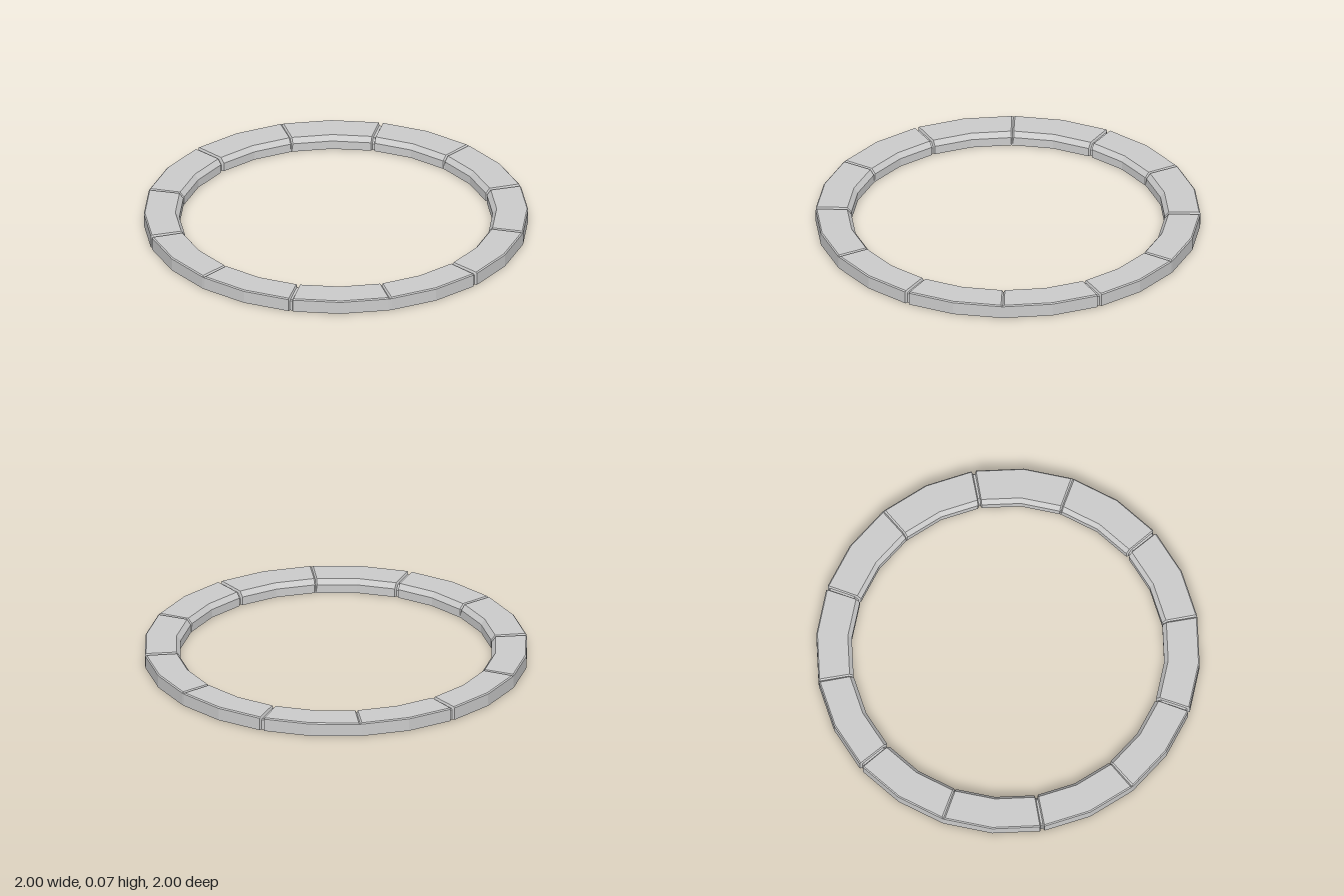
import * as THREE from 'three';

// Cross-section from outer foot over the top to inner foot; the underside is open.
// groove sinks every face, crease sinks only the top and the inner bevel.
function section(groove, crease) {
  const top = groove + crease;
  return [
    [1 - groove, 0],
    [1 - groove, 0.067 - groove],
    [0.994 - groove, 0.073 - top],
    [0.836 + top, 0.073 - top],
    [0.815 + top, 0.046 - groove],
    [0.815 + groove, 0],
  ];
}

// Stations along one sixth of the ring: [degrees, groove depth, crease depth]
const stations = [
  [0, 0.012, 0], [0.35, 0.012, 0], [0.7, 0, 0],
  [15, 0, 0],
  [29.5, 0, 0], [30, 0, 0.008], [30.5, 0, 0],
  [45, 0, 0],
  [59.3, 0, 0], [59.65, 0.012, 0], [60, 0.012, 0],
];

function stoneGeometry() {
  const positions = [];
  const index = [];
  const n = section(0, 0).length;
  stations.forEach(([deg, groove, crease], i) => {
    const a = THREE.MathUtils.degToRad(deg);
    section(groove, crease).forEach(([r, y], j) => {
      positions.push(r * Math.cos(a), y, r * Math.sin(a));
      if (i < stations.length - 1 && j < n - 1) {
        const p = i * n + j;
        index.push(p, p + 1, p + n, p + 1, p + n + 1, p + n);
      }
    });
  });
  const indexed = new THREE.BufferGeometry();
  indexed.setAttribute('position', new THREE.Float32BufferAttribute(positions, 3));
  indexed.setIndex(index);
  const geometry = indexed.toNonIndexed();
  geometry.computeVertexNormals();
  return geometry;
}

export function createModel() {
  const ring = new THREE.Group();
  ring.name = 'stoneRing';
  const material = new THREE.MeshStandardMaterial({
    color: 0xcccccc, flatShading: true, side: THREE.DoubleSide,
  });
  const geometry = stoneGeometry();

  // Six equal stones, parted by grooves
  for (let k = 0; k < 6; k++) {
    const stone = new THREE.Mesh(geometry, material);
    stone.name = `ringStone${k + 1}`;
    stone.rotation.y = (k * Math.PI) / 3;
    ring.add(stone);
  }
  return ring;
}
